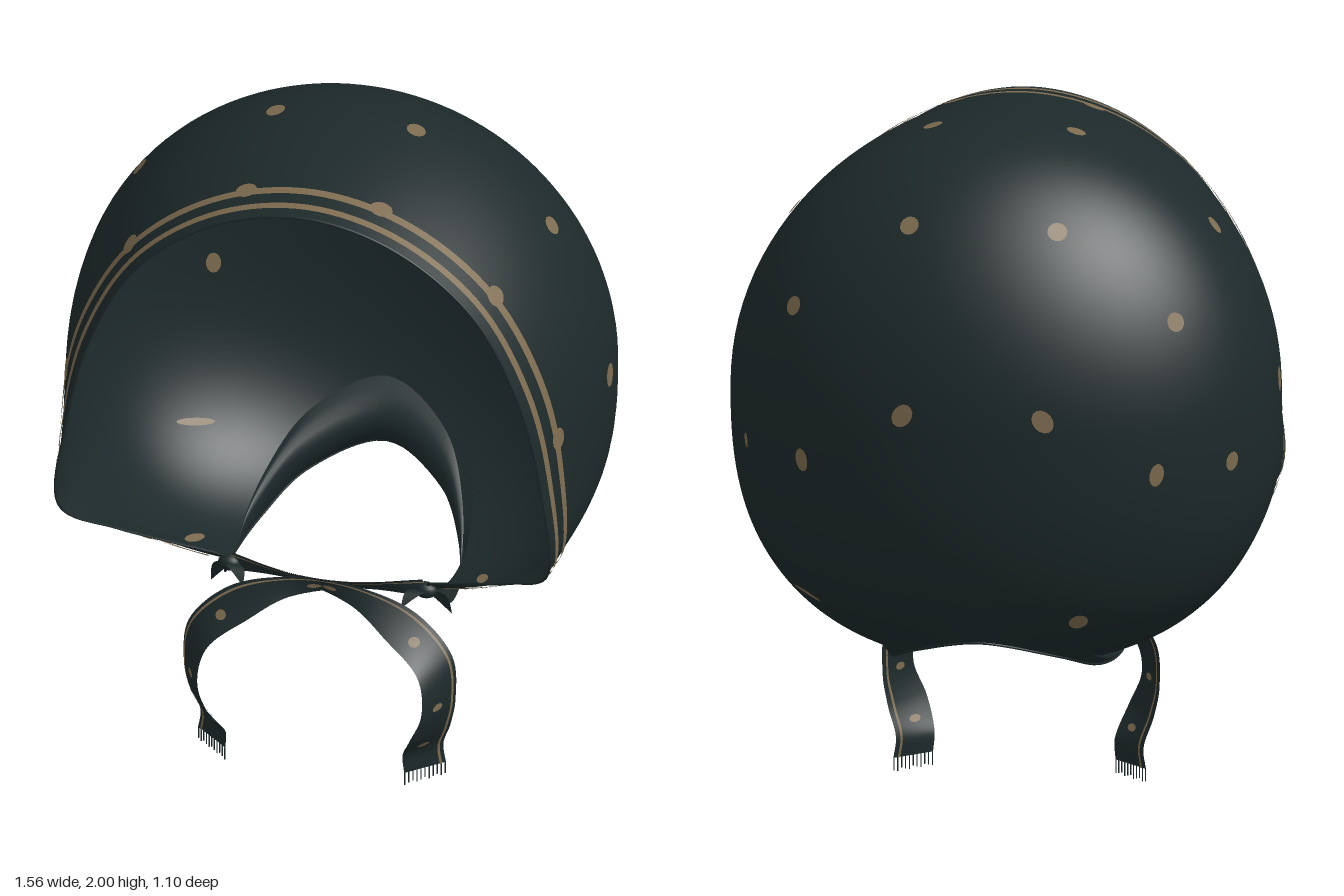
import * as THREE from 'three';
import { mergeVertices } from 'three/addons/utils/BufferGeometryUtils.js';

const V = (x, y, z) => new THREE.Vector3(x, y, z);

// Smooth sheet from a function (s, t) -> point, with s and t in 0..1
function sheet(fn, ns, nt) {
  const pos = [], index = [];
  for (let i = 0; i <= ns; i++)
    for (let j = 0; j <= nt; j++) pos.push(...fn(i / ns, j / nt).toArray());
  for (let i = 0; i < ns; i++)
    for (let j = 0; j < nt; j++) {
      const a = i * (nt + 1) + j, b = a + nt + 1;
      index.push(a, a + 1, b, b, a + 1, b + 1);
    }
  let g = new THREE.BufferGeometry();
  g.setAttribute('position', new THREE.Float32BufferAttribute(pos, 3));
  g.setIndex(index);
  g = mergeVertices(g, 1e-5);
  g.computeVertexNormals();
  return g;
}

// Edge of the cloth, left half: over the brow, down the cheek, tie corner, round the neck to the nape
const half = [
  [0, 1.96, 0.54], [0.25, 1.9, 0.54], [0.48, 1.72, 0.54], [0.62, 1.45, 0.54], [0.69, 1.15, 0.54],
  [0.71, 0.87, 0.54], [0.57, 0.745, 0.43], [0.42, 0.66, 0.34], [0.29, 0.59, 0.27], [0.325, 0.465, 0.16],
  [0.325, 0.455, 0.03], [0.29, 0.475, -0.13], [0.2, 0.54, -0.29], [0, 0.6, -0.4],
].map(p => V(...p));
const mirror = p => V(-p.x, p.y, p.z);
const edge = new THREE.CatmullRomCurve3([...half, ...half.slice(1, -1).reverse().map(mirror)], true);
const STEPS = 26;
const edgeAt = k => edge.getPoint((((k / STEPS) % 1) + 1) % 1); // k counts edge points from the brow

// Head form: a rounded ellipsoid, deeper to the front and fuller below
const C = V(0, 1.22, 0.05);
function formRadius(d) {
  const h = Math.hypot(d.x / 0.775, d.z / (d.z < 0 ? 0.6 : 0.98));
  const p = d.y < 0 ? 2.5 : 2;
  return 1 / Math.pow(Math.pow(h, p) + Math.pow(Math.abs(d.y) / 0.78, p), 1 / p);
}

// Cloth point: v runs from the back of the head (0) to the edge (1)
function cloth(k, v, lift = 0) {
  const e = edgeAt(k).sub(C), r = e.length();
  e.divideScalar(r);
  const theta = Math.acos(-e.z) * v, side = Math.hypot(e.x, e.y);
  const d = V(e.x / side * Math.sin(theta), e.y / side * Math.sin(theta), -Math.cos(theta));
  const fit = 1 + (r / formRadius(e) - 1) * Math.pow(v, 10);
  return d.clone().multiplyScalar(formRadius(d) * fit + lift).add(C);
}

// Polka dots: position, width and height scale, sides of the head, faces of the cloth
const both = [1, -1], outer = [1];
const dots = [
  [[0.21, 1.79, -0.33], 1, 1.05, both, both], [[0.56, 1.53, -0.31], 1, 1, both, both],
  [[0.2, 1.29, -0.53], 1, 1.3, both, both], [[0.49, 1.11, -0.39], 0.8, 1.2, both, both],
  [[0.2, 1.98, 0.05], 1, 1, both, both], [[0.59, 1.74, 0.05], 1, 1, both, both],
  [[0.77, 1.25, 0.1], 1, 1.3, both, both],
  [[0.7, 1.1, -0.23], 0.35, 0.8, [1], outer], [[0.7, 1.1, -0.23], 0.9, 1, [-1], outer],
  [[0.28, 0.67, -0.38], 1, 1, [-1], outer],
  [[0.5, 0.7, -0.22], 0.35, 2, [1], outer], [[0.5, 0.7, -0.22], 0.4, 2.2, [-1], [-1]],
  [[0.42, 0.56, 0.14], 0.6, 2, both, both],
  [[0.18, 1.93, 0.42], 1.2, 1, both, outer], [[0.52, 1.7, 0.42], 1.1, 1.1, both, outer],
  [[0.7, 1.27, 0.425], 1, 1.2, both, outer], [[0.52, 0.68, 0.35], 1, 1.2, both, outer],
];

// Ribbon centre points and half-width vectors
const ribbonPath = [
  [-0.29, 0.575, 0.265], [-0.1, 0.583, 0.31], [0.1, 0.565, 0.34], [0.24, 0.5, 0.365], [0.345, 0.4, 0.395],
  [0.36, 0.28, 0.415], [0.335, 0.19, 0.415], [0.305, 0.1, 0.375], [0.31, 0.04, 0.37],
].map(p => V(...p));
const ribbonWidth = [
  [0.015, 0.028, 0], [0, 0.02, 0.015], [0.01, 0.026, -0.01], [0.035, 0.03, -0.035], [0.038, 0.012, -0.05],
  [0.035, 0, -0.06], [0.045, 0, -0.065], [0.048, 0, -0.045], [0.05, 0, -0.042],
].map(p => V(...p));

export function createModel() {
  const model = new THREE.Group();
  model.name = 'headscarf';
  const make = (name, hex) => {
    const m = new THREE.MeshStandardMaterial({ color: hex, side: THREE.DoubleSide });
    m.name = name;
    return m;
  };
  const green = make('dark green cloth', 0x1d292a);
  const tan = make('tan print', 0x7d6b4f);
  const add = (name, geometry, material, parent = model) => {
    const mesh = new THREE.Mesh(geometry, material);
    mesh.name = name;
    parent.add(mesh);
    return mesh;
  };

  // Hood and its rolled hem
  add('hood', sheet((s, t) => cloth(s * STEPS, t), 208, 48), green);
  add('hem', new THREE.TubeGeometry(edge, 208, 0.004, 6, true), green);

  // Nape fold, tucked up inside the neck opening
  add('napeFold', sheet((s, t) => {
    const w = Math.pow(Math.max(0, Math.sin(Math.PI * s)), 0.7);
    const p = edgeAt(10 + 6 * s);
    p.y += 0.21 * w * t;
    p.z += w * (0.36 * t * (1 - t) - 0.01 * t);
    return p;
  }, 48, 10), green);

  // Two printed stripes along the face opening
  for (const [a, b] of [[0.037, 0.062], [0.108, 0.138]])
    add('borderStripe', sheet((s, t) =>
      cloth((s * 2 - 1) * 7.625, 1 - 0.45 * (a + (b - a) * t), 0.006), 122, 2), tan);

  // Polka dots, laid on the nearest point of the cloth
  const disc = new THREE.CircleGeometry(0.028, 14);
  const samples = [];
  for (let k = 0; k <= 13; k += 0.125)
    for (let v = 0.02; v < 0.98; v += 0.01) samples.push([k, v, cloth(k, v)]);
  for (const [spot, w, h, sides, faces] of dots) {
    const target = V(...spot);
    let best = samples[0];
    for (const q of samples)
      if (q[2].distanceToSquared(target) < best[2].distanceToSquared(target)) best = q;
    const [k, v, p] = best;
    const n = cloth(k + 0.05, v).sub(p).cross(cloth(k, v + 0.01).sub(p)).normalize();
    if (n.dot(p.clone().sub(C)) < 0) n.negate();
    for (const side of sides)
      for (const face of faces) {
        const flip = q => (side < 0 ? mirror(q) : q.clone());
        const m = add('polkaDot', disc, tan);
        m.position.copy(flip(p.clone().addScaledVector(n, 0.005 * face)));
        m.quaternion.setFromUnitVectors(V(0, 0, 1), flip(n));
        m.scale.set(w, h, 1);
      }
  }

  // Crossed chin ribbons with stripe, dots, fringe and knot
  const path = new THREE.CatmullRomCurve3(ribbonPath), width = new THREE.CatmullRomCurve3(ribbonWidth);
  for (const side of [1, -1]) {
    const tie = new THREE.Group();
    tie.name = side > 0 ? 'leftTie' : 'rightTie';
    model.add(tie);
    const at = (s, w, lift = 0) => {
      const p = path.getPoint(s), a = width.getPoint(s);
      const n = path.getTangent(s).cross(a).normalize();
      p.addScaledVector(a, w).addScaledVector(n, lift);
      p.x *= side;
      return p;
    };
    add('ribbon', sheet((s, t) => at(s, t * 2 - 1), 64, 6), green, tie);
    for (const lift of [0.003, -0.003]) {
      add('ribbonStripe', sheet((s, t) => at(s, 0.68 + 0.12 * t, lift), 64, 1), tan, tie);
      for (const s of [0.2, 0.42, 0.62, 0.82])
        add('ribbonDot', sheet((a, t) => at(s + 0.013 * t * Math.cos(a * 2 * Math.PI),
          -0.1 + 0.28 * t * Math.sin(a * 2 * Math.PI), lift), 12, 1), tan, tie);
    }
    for (let i = 0; i < 11; i++) {
      const thread = add('fringe', new THREE.BoxGeometry(0.003, 0.04, 0.003), green, tie);
      thread.position.copy(at(1, -0.97 + i * 0.194));
      thread.position.y = 0.02 + (i % 3) * 0.004;
    }
    const knot = add('knot', new THREE.SphereGeometry(0.03, 14, 10), green, tie);
    knot.position.set(0.285 * side, 0.57, 0.265);
    knot.scale.set(1.1, 0.8, 0.8);
    // Short pointed tails of the knot
    for (const tip of [[0.35, 0.47, 0.22], [0.23, 0.54, 0.33]]) {
      const end = V(...tip), start = V(0.285, 0.57, 0.265);
      add('knotTail', sheet((s, t) => {
        const p = start.clone().lerp(end, s);
        p.y += 0.02 * Math.sin(Math.PI * s);
        p.x = (p.x + (t - 0.5) * 0.05 * Math.sin(Math.PI * (0.25 + 0.75 * s))) * side;
        return p;
      }, 8, 2), green, tie);
    }
  }
  return model;
}
